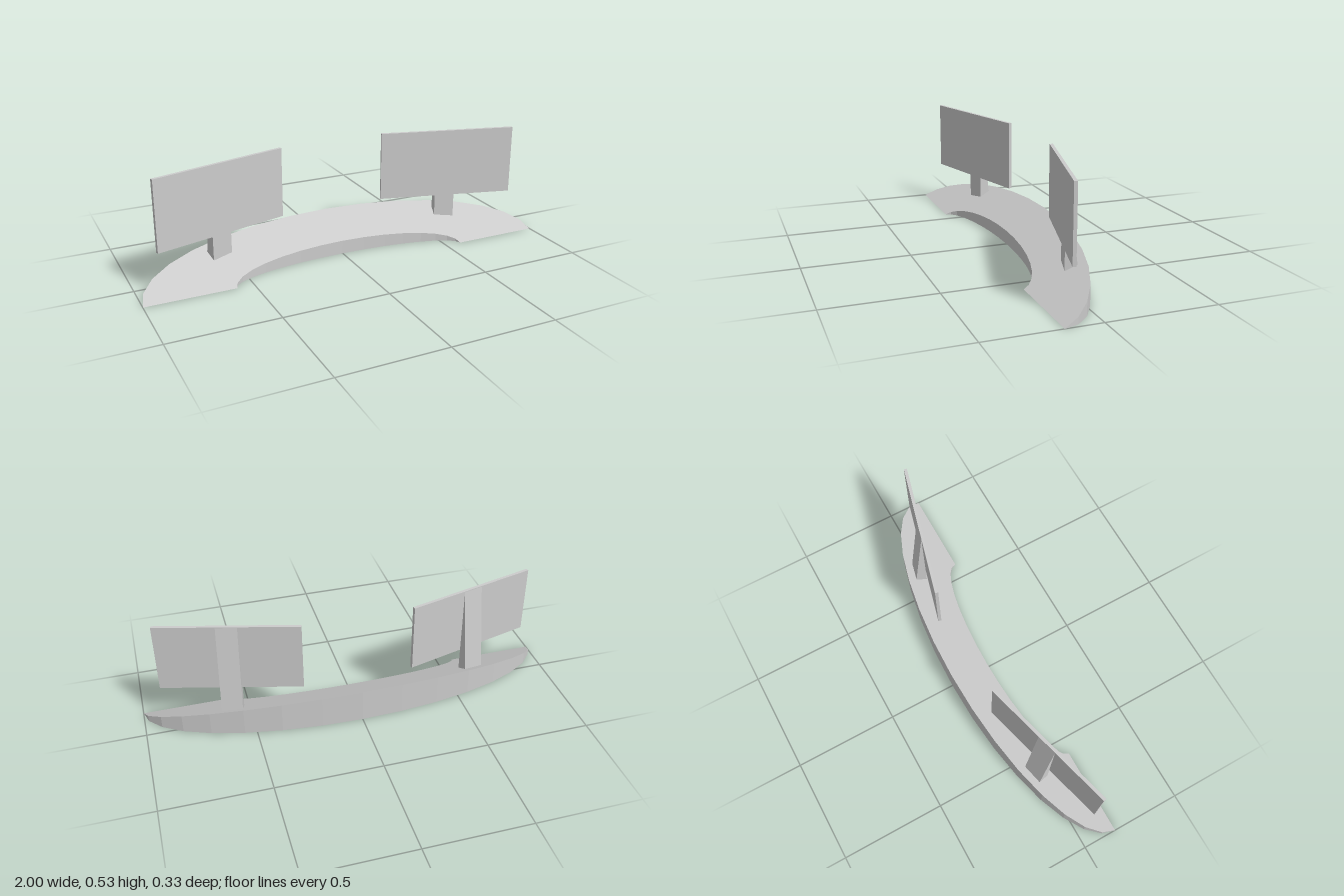
import * as THREE from 'three';

const material = new THREE.MeshStandardMaterial({ color: 0xcccccc, flatShading: true });
const FRONT = 0.165; // z of the straight front edge
const SLOPE = 0.49; // rise of the base top towards the back
const ANGLE = THREE.MathUtils.degToRad(15);

function halfEllipse(a, b, segments) {
  return Array.from({ length: segments + 1 }, (_, i) => {
    const t = (Math.PI * i) / segments;
    return new THREE.Vector2(a * Math.cos(t), b * Math.sin(t) - FRONT);
  });
}

function extrude(points, depth) {
  return new THREE.ExtrudeGeometry(new THREE.Shape(points), { depth, bevelEnabled: false });
}

// Crescent whose top slopes from the floor at the front up to the back
function createBase() {
  const outline = [...halfEllipse(1, 0.33, 16), ...halfEllipse(0.58, 0.135, 16).reverse()];
  const geometry = extrude(outline, 1).rotateX(-Math.PI / 2);
  const p = geometry.attributes.position;
  for (let i = 0; i < p.count; i++) {
    p.setY(i, p.getY(i) * (FRONT - p.getZ(i)) * SLOPE);
  }
  geometry.computeVertexNormals();
  const base = new THREE.Mesh(geometry, material);
  base.name = 'base';
  return base;
}

// Thin panel with a tapering wedge stand behind it
function createScreen(side) {
  const group = new THREE.Group();
  group.name = side > 0 ? 'leftScreen' : 'rightScreen';

  const panel = new THREE.Mesh(new THREE.BoxGeometry(0.664, 0.334, 0.015), material);
  panel.name = 'panel';
  panel.position.y = 0.367;

  // Side profile: x runs backwards from the panel, y up
  const profile = [[0, 0.01], [0.066, 0.01], [0, 0.53]].map(([x, y]) => new THREE.Vector2(x, y));
  const wedge = extrude(profile, 0.098).translate(0, 0, -0.049).rotateY(Math.PI / 2);
  const stand = new THREE.Mesh(wedge, material);
  stand.name = 'stand';
  stand.position.z = -0.0075;

  group.add(panel, stand);
  group.position.x = side * 0.583;
  group.rotation.y = -side * ANGLE;
  return group;
}

export function createModel() {
  const model = new THREE.Group();
  model.name = 'curvedDisplayStand';
  model.add(createBase(), createScreen(1), createScreen(-1));
  return model;
}
